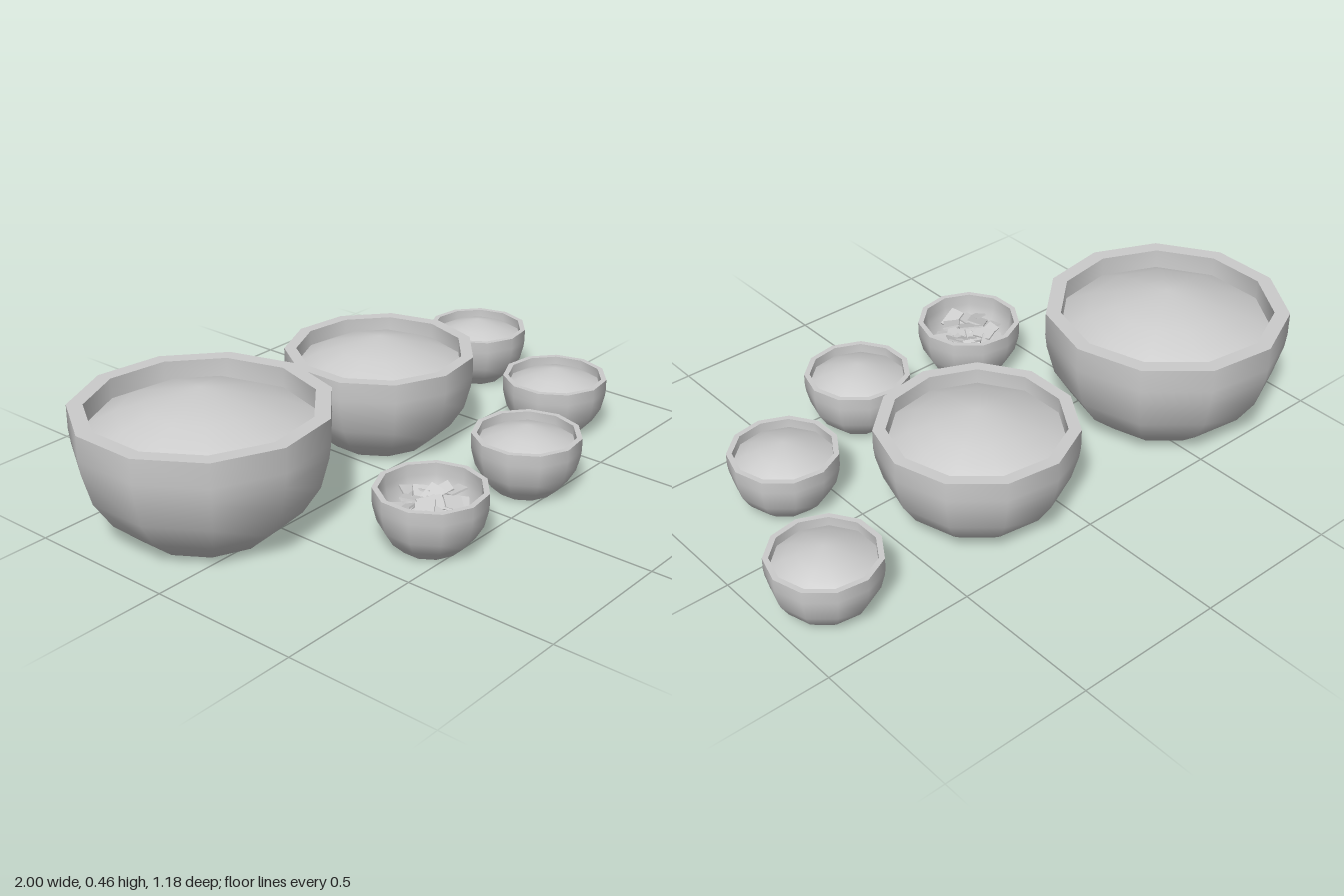
import * as THREE from 'three';
import { toCreasedNormals } from 'three/addons/utils/BufferGeometryUtils.js';

const SIDES = 11;
const material = new THREE.MeshStandardMaterial({ color: 0xcccccc });
const openMaterial = new THREE.MeshStandardMaterial({ color: 0xcccccc, side: THREE.DoubleSide });

// Faceted round body with one corner pointing along +x
function lathe(profile, crease) {
  const points = profile.map(([r, y]) => new THREE.Vector2(r, y));
  return toCreasedNormals(new THREE.LatheGeometry(points, SIDES, Math.PI / 2), crease);
}

// Outer wall, flat rim, inner wall and floor in one profile
function bowlGeometry(R, H, wall) {
  const outer = [[0.54, 0], [0.77, 0.2], [0.915, 0.425], [0.985, 0.68], [1, 0.8], [1, 1]];
  const inner = [[1, 1], [1, 0.8], [0.975, 0.68], [0.89, 0.46], [0.72, 0.26], [0.45, 0.14], [0, 0.12]];
  return lathe([
    [0, 0],
    ...outer.map(([r, y]) => [r * R, y * H]),
    ...inner.map(([r, y]) => [r * (R - wall), y * H]),
  ], 0.76);
}

// Shallow heap whose peak rises above the rim
function heapGeometry(R, H, wall, peak) {
  const r = R - wall;
  const rise = peak - H;
  return lathe([
    [r, H - rise * 1.2],
    [r * 0.74, H - rise * 0.4],
    [r * 0.5, H + rise * 0.08],
    [0, peak],
  ], 1.2);
}

function seeded(seed) {
  return () => {
    seed = (seed * 16807) % 2147483647;
    return seed / 2147483647;
  };
}

// Loose flat chips lying at all angles inside a bowl
function makeChips() {
  const chips = new THREE.Group();
  chips.name = 'chips';
  const random = seeded(41);
  const count = 24;
  for (let i = 0; i < count; i++) {
    const size = 0.05 + random() * 0.03;
    const chip = new THREE.Mesh(new THREE.BoxGeometry(size, 0.006, size * 0.75), material);
    const radius = 0.105 * Math.sqrt((i + 0.3) / count);
    const angle = i * 2.4;
    chip.position.set(Math.cos(angle) * radius, 0.12 + random() * 0.03, Math.sin(angle) * radius);
    chip.rotation.set((random() - 0.5) * 1.1, random() * Math.PI, (random() - 0.5) * 1.1);
    chip.name = 'chip';
    chips.add(chip);
  }
  return chips;
}

export function createModel() {
  const model = new THREE.Group();
  model.name = 'bowlSet';

  const large = { R: 0.4, H: 0.4, wall: 0.05, peak: 0.455 };
  const medium = { R: 0.318, H: 0.32, wall: 0.04, peak: 0.363 };
  const small = { R: 0.176, H: 0.193, wall: 0.018, peak: 0.219 };
  const bowls = [
    ['largeBowl', large, -0.62, -0.195],
    ['mediumBowl', medium, 0.197, -0.195],
    ['chipBowl', small, -0.286, 0.41],
    ['smallBowlFront', small, 0.197, 0.41],
    ['smallBowlMiddle', small, 0.63, 0.218],
    ['smallBowlBack', small, 0.823, -0.256],
  ];

  for (const [name, { R, H, wall, peak }, x, z] of bowls) {
    const group = new THREE.Group();
    group.name = name;
    group.position.set(x, 0, z);

    const bowl = new THREE.Mesh(bowlGeometry(R, H, wall), material);
    bowl.name = 'bowl';
    group.add(bowl);

    if (name === 'chipBowl') {
      group.add(makeChips());
    } else {
      const heap = new THREE.Mesh(heapGeometry(R, H, wall, peak), openMaterial);
      heap.name = 'contents';
      group.add(heap);
    }
    model.add(group);
  }
  return model;
}
